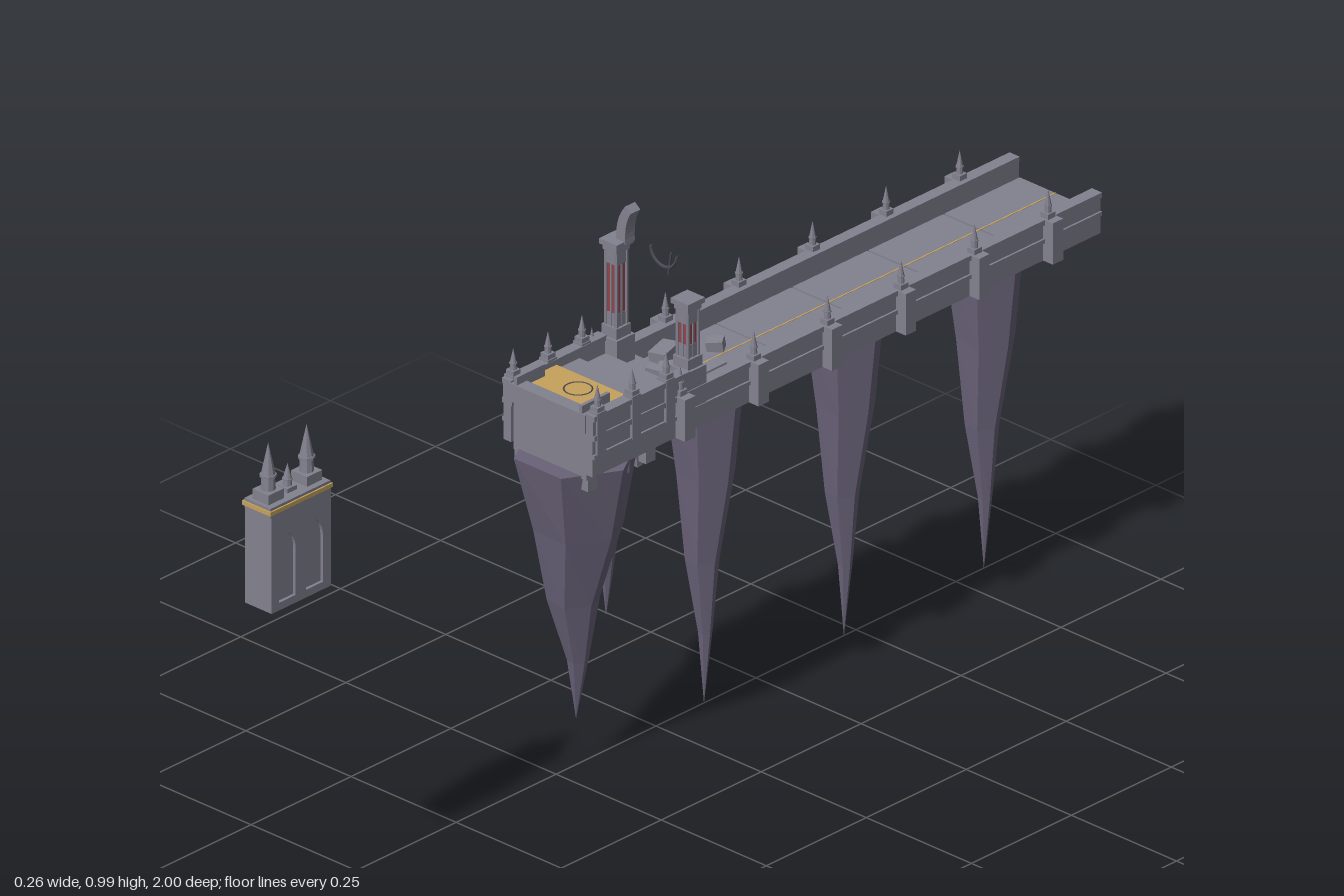
import * as THREE from 'three';

const mat = (color) => new THREE.MeshStandardMaterial({ color, flatShading: true, side: THREE.DoubleSide });
const stone = mat(0x82818f), rock = mat(0x6a6379), gold = mat(0xc6a25c), red = mat(0x96434a), dark = mat(0x4a4854);

function add(parent, name, geo, m, x = 0, y = 0, z = 0) {
  const mesh = new THREE.Mesh(geo, m);
  mesh.name = name;
  mesh.position.set(x, y, z);
  parent.add(mesh);
  return mesh;
}

// Box given by its limits
function box(parent, name, m, x0, x1, y0, y1, z0, z1) {
  return add(parent, name, new THREE.BoxGeometry(x1 - x0, y1 - y0, z1 - z0), m,
    (x0 + x1) / 2, (y0 + y1) / 2, (z0 + z1) / 2);
}

// Square plinth, shaft, collar and pointed octagonal roof
function pinnacle(parent, name, x, y, z, r, h) {
  const g = new THREE.Group();
  g.name = name;
  g.position.set(x, y, z);
  box(g, 'plinth', stone, -r, r, 0, h * 0.18, -r, r);
  add(g, 'shaft', new THREE.CylinderGeometry(r * 0.6, r * 0.7, h * 0.26, 8), stone, 0, h * 0.3);
  add(g, 'collar', new THREE.CylinderGeometry(r * 0.8, r * 0.8, h * 0.05, 8), stone, 0, h * 0.42);
  add(g, 'spire', new THREE.ConeGeometry(r * 0.68, h * 0.56, 8), stone, 0, h * 0.72);
  parent.add(g);
}

// Faceted hanging rock, hexagonal rings narrowing to a tip
function rockSpike(parent, name, z, top, tip, rx, rz) {
  const rings = [[0, 1, 0], [0.28, 0.72, 0.03], [0.55, 0.42, -0.03], [0.78, 0.17, 0.02], [1, 0.002, 0]];
  const pos = [], idx = [], n = 6;
  rings.forEach(([t, s, shift], k) => {
    for (let i = 0; i < n; i++) {
      const a = (i / n) * Math.PI * 2 + k * 0.05;
      pos.push(Math.cos(a) * rx * s + shift * rx, top + (tip - top) * t, z + Math.sin(a) * rz * s * 1.12 - shift * rz);
      if (k) {
        const j = (i + 1) % n, a0 = (k - 1) * n, b0 = k * n;
        idx.push(a0 + i, a0 + j, b0 + i, a0 + j, b0 + j, b0 + i);
      }
    }
  });
  for (let i = 1; i < n - 1; i++) idx.push(0, i + 1, i);
  const geo = new THREE.BufferGeometry();
  geo.setAttribute('position', new THREE.Float32BufferAttribute(pos, 3));
  geo.setIndex(idx);
  geo.computeVertexNormals();
  add(parent, name, geo, rock);
}

// Pointed window outline
function lancet(cx, y0, w, h) {
  const p = new THREE.Path();
  p.moveTo(cx - w, y0);
  p.lineTo(cx + w, y0);
  p.lineTo(cx + w, y0 + h * 0.7);
  p.quadraticCurveTo(cx + w, y0 + h * 0.9, cx, y0 + h);
  p.quadraticCurveTo(cx - w, y0 + h * 0.9, cx - w, y0 + h * 0.7);
  return p;
}

// Curved broken arch piece, tapering box section swept along a bend
function brokenArch(parent, name, points, w, depth) {
  const curve = new THREE.QuadraticBezierCurve(...points.map((p) => new THREE.Vector2(...p)));
  const left = [], right = [];
  for (let i = 0; i <= 8; i++) {
    const p = curve.getPoint(i / 8), t = curve.getTangent(i / 8), s = w * (1 - 0.035 * i);
    left.push(new THREE.Vector2(p.x - t.y * s, p.y + t.x * s));
    right.unshift(new THREE.Vector2(p.x + t.y * s, p.y - t.x * s));
  }
  const geo = new THREE.ExtrudeGeometry(new THREE.Shape([...left, ...right]), { depth, bevelEnabled: false });
  return add(parent, name, geo.translate(0, 0, -depth / 2), stone);
}

function gateColumn(parent, x, top) {
  const g = new THREE.Group();
  g.name = 'gateColumn';
  g.position.set(x, 0, 0.01);
  const low = 0.755, high = top - 0.02;
  box(g, 'base', stone, -0.023, 0.023, 0.66, 0.735, -0.023, 0.023);
  box(g, 'baseStep', stone, -0.018, 0.018, 0.735, low, -0.018, 0.018);
  box(g, 'redPanel', red, -0.012, 0.012, low + 0.02, high - 0.01, -0.012, 0.012);
  box(g, 'lowerBlock', stone, -0.013, 0.013, low, low + 0.025, -0.013, 0.013);
  box(g, 'upperBlock', stone, -0.014, 0.014, high - 0.025, high, -0.014, 0.014);
  for (const sx of [-1, 1]) for (const sz of [-1, 1])
    add(g, 'colonnette', new THREE.CylinderGeometry(0.0035, 0.0035, high - low, 6), stone, sx * 0.0125, (low + high) / 2, sz * 0.0125);
  for (const s of [-1, 1]) {
    box(g, 'mullion', stone, -0.002, 0.002, low, high, s * 0.013 - 0.001, s * 0.013 + 0.001);
    box(g, 'sideMullion', stone, s * 0.013 - 0.001, s * 0.013 + 0.001, low, high, -0.002, 0.002);
  }
  box(g, 'capital', stone, -0.017, 0.017, high, high + 0.01, -0.017, 0.017);
  box(g, 'cap', stone, -0.021, 0.021, high + 0.01, top, -0.021, 0.021);
  parent.add(g);
}

function buildBridge(root) {
  const g = new THREE.Group();
  g.name = 'bridge';
  root.add(g);
  box(g, 'deck', stone, -0.088, 0.088, 0.62, 0.655, -1, 0.2);
  // Paving slabs with narrow joints
  const joints = [-1, -0.81, -0.62, -0.43, -0.24, -0.05];
  for (let i = 0; i < joints.length - 1; i++)
    box(g, 'pavingSlab', stone, -0.086, 0.086, 0.655, 0.66, joints[i] + (i ? 0.002 : 0), joints[i + 1] - 0.002);
  box(g, 'goldInlay', gold, -0.0015, 0.0015, 0.659, 0.6608, -1, -0.1);
  for (const s of [-1, 1]) {
    const side = (name, a, b, ...r) => box(g, name, stone, Math.min(s * a, s * b), Math.max(s * a, s * b), ...r);
    side('parapet', 0.088, 0.106, 0.62, 0.69, -1, 0.27);
    side('parapetCoping', 0.086, 0.11, 0.69, 0.7, -1, 0.27);
    side('parapetLedge', 0.104, 0.11, 0.655, 0.663, -1, 0.27);
    for (let i = 0; i < 6; i++) {
      const z = -0.87 + i * 0.184;
      side('buttress', 0.104, 0.129, 0.62, 0.7, z - 0.013, z + 0.013);
      pinnacle(g, 'parapetPinnacle', s * 0.105, 0.7, z, 0.009, 0.055);
    }
  }
}

function buildPlatform(root) {
  const g = new THREE.Group();
  g.name = 'platform';
  root.add(g);
  box(g, 'platformBody', stone, -0.087, 0.087, 0.605, 0.72, 0.1, 0.265);
  box(g, 'upperStep', stone, -0.087, 0.087, 0.65, 0.705, 0.035, 0.1);
  box(g, 'lowerStep', stone, -0.087, 0.087, 0.65, 0.685, -0.025, 0.035);
  box(g, 'goldFloor', gold, -0.092, 0.092, 0.72, 0.727, 0.155, 0.24);
  add(g, 'floorRing', new THREE.TorusGeometry(0.025, 0.0015, 4, 24).rotateX(Math.PI / 2), dark, 0, 0.727, 0.195);
  box(g, 'frontWall', stone, -0.09, 0.09, 0.70, 0.735, 0.245, 0.272);
  for (const s of [-1, 1]) {
    const side = (name, a, b, ...r) => box(g, name, stone, Math.min(s * a, s * b), Math.max(s * a, s * b), ...r);
    side('platformRail', 0.09, 0.107, 0.7, 0.728, 0.03, 0.27);
    side('railCoping', 0.088, 0.11, 0.728, 0.738, 0.03, 0.27);
    side('innerRail', 0.074, 0.081, 0.72, 0.75, 0.2, 0.27);
    for (const z of [0.252, 0.165, 0.08]) {
      side('railPost', 0.089, 0.111, 0.66, 0.742, z - 0.011, z + 0.011);
      pinnacle(g, 'railPinnacle', s * 0.1, 0.742, z, 0.009, 0.05);
    }
    for (const z of [0.25, 0.17, 0.105]) side('bracket', 0.07, 0.087, 0.582, 0.63, z - 0.012, z + 0.012);
  }
  // Hooked arch stump hanging under the deck
  const hook = brokenArch(g, 'hangingArch', [[0.115, 0.62], [0.06, 0.61], [0.055, 0.53]], 0.01, 0.03);
  hook.rotation.y = -Math.PI / 2;
}

function buildGate(root) {
  const g = new THREE.Group();
  g.name = 'ruinedGate';
  root.add(g);
  gateColumn(g, -0.085, 0.92);
  gateColumn(g, 0.085, 0.865);
  brokenArch(g, 'archStump', [[-0.073, 0.915], [-0.075, 0.96], [-0.055, 0.985]], 0.0115, 0.024);
  // Broken ring piece floating above the road
  const arc = add(g, 'ringFragment', new THREE.TorusGeometry(0.031, 0.003, 6, 18, Math.PI), dark, 0.028, 0.936, 0.01);
  arc.rotation.z = Math.PI;
  const prong = add(g, 'ringProng', new THREE.CylinderGeometry(0.002, 0.002, 0.045, 6), dark, 0.042, 0.915, 0.01);
  prong.rotation.z = -0.15;
  // Fallen stones: x, y, z, width, height, depth, turn
  const stones = [[-0.05, 0.675, -0.075, 0.035, 0.03, 0.05, 0.2], [0.055, 0.675, -0.08, 0.03, 0.03, 0.05, -0.1],
    [0.015, 0.692, 0, 0.06, 0.014, 0.02, 0.1], [-0.02, 0.67, -0.17, 0.03, 0.02, 0.025, 0.6],
    [-0.015, 0.672, -0.045, 0.03, 0.02, 0.02, 0.7], [0.03, 0.672, -0.05, 0.05, 0.02, 0.02, 0.4]];
  for (const [x, y, z, w, h, d, turn] of stones)
    add(g, 'fallenStone', new THREE.BoxGeometry(w, h, d), stone, x, y, z).rotation.set(0.1, turn, 0.08);
}

function buildFarTower(root) {
  const g = new THREE.Group();
  g.name = 'farTower';
  g.position.z = 0.922;
  root.add(g);
  box(g, 'towerCore', stone, -0.026, 0.026, 0.6, 0.79, -0.07, 0.073);
  // Side walls with pairs of pointed niches
  const wall = new THREE.Shape([[-0.073, 0.6], [0.073, 0.6], [0.073, 0.79], [-0.073, 0.79]].map((p) => new THREE.Vector2(...p)));
  for (const c of [-0.034, 0.034]) wall.holes.push(lancet(c, 0.615, 0.021, 0.13));
  const wallGeo = new THREE.ExtrudeGeometry(wall, { depth: 0.006, bevelEnabled: false, curveSegments: 6 });
  for (const s of [-1, 1]) add(g, 'nicheWall', wallGeo, stone, s * 0.026).rotation.y = s * Math.PI / 2;
  // Red back door with stone ribs
  box(g, 'redDoor', red, -0.027, 0.027, 0.615, 0.775, -0.075, -0.069);
  for (const x of [-0.029, 0, 0.029]) box(g, 'doorRib', stone, x - 0.002, x + 0.002, 0.6, 0.79, -0.0765, -0.07);
  box(g, 'goldCornice', gold, -0.034, 0.034, 0.791, 0.799, -0.078, 0.078);
  box(g, 'cornice', stone, -0.031, 0.031, 0.785, 0.804, -0.075, 0.075);
  for (const z of [-0.048, 0.048]) pinnacle(g, 'roofPinnacle', 0, 0.803, z, 0.019, 0.11);
  pinnacle(g, 'middlePinnacle', 0, 0.803, 0, 0.012, 0.052);
}

export function createModel() {
  const root = new THREE.Group();
  root.name = 'ruinedBridge';
  buildBridge(root);
  buildPlatform(root);
  buildGate(root);
  buildFarTower(root);
  for (const z of [-0.12, -0.47, -0.82]) rockSpike(root, 'bridgeRock', z, 0.625, 0, 0.078, 0.062);
  rockSpike(root, 'platformRock', 0.2, 0.61, 0.09, 0.112, 0.1);
  rockSpike(root, 'smallRock', 0.125, 0.62, 0.26, 0.06, 0.05);
  return root;
}
